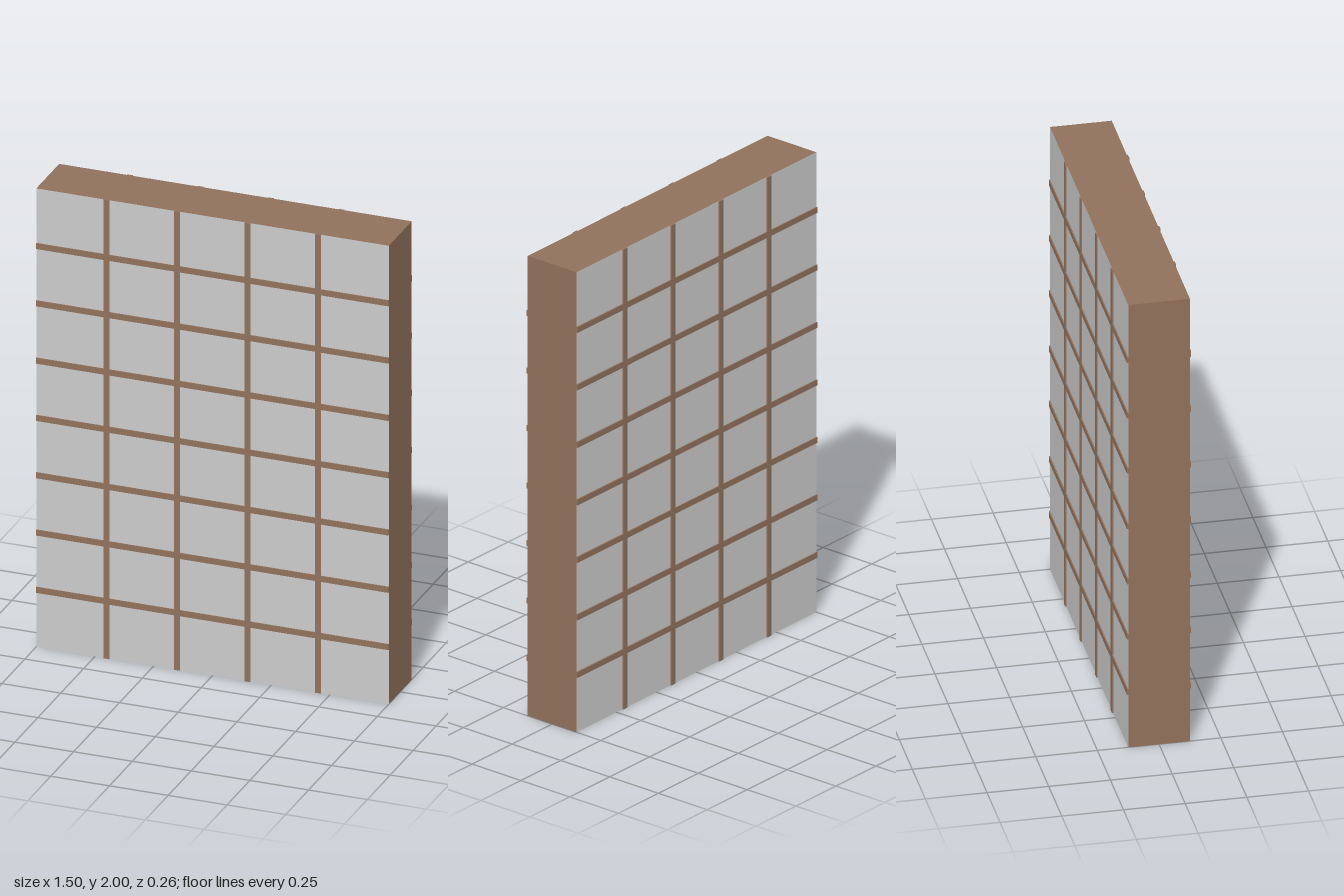
import * as THREE from 'three';

const W = 1.5, H = 2, D = 0.25;   // slab
const BAR = 0.025, PROUD = 0.005; // lattice bar width and projection
const COLS = 5, ROWS = 8;

export function createModel() {
  const group = new THREE.Group();
  const wood = new THREE.MeshStandardMaterial({ color: 0x91725b });
  const pane = new THREE.MeshStandardMaterial({ color: 0xcccccc });

  // Slab: wooden edges, pale front and back faces
  const slab = new THREE.Mesh(
    new THREE.BoxGeometry(W, H, D),
    [wood, wood, wood, wood, pane, pane]
  );
  slab.name = 'panel';
  slab.position.y = H / 2;
  group.add(slab);

  function addBar(name, parent, w, h, x, y, z) {
    const bar = new THREE.Mesh(new THREE.BoxGeometry(w, h, PROUD * 2), wood);
    bar.name = name;
    bar.position.set(x, y, z);
    parent.add(bar);
  }

  // Lattice of bars, half sunk into each face
  for (const side of [1, -1]) {
    const lattice = new THREE.Group();
    lattice.name = side > 0 ? 'frontLattice' : 'backLattice';
    const z = side * D / 2;
    for (let i = 1; i < COLS; i++) {
      addBar('verticalBar', lattice, BAR, H, -W / 2 + (i * W) / COLS, H / 2, z);
    }
    for (let j = 1; j < ROWS; j++) {
      addBar('horizontalBar', lattice, W, BAR, 0, (j * H) / ROWS, z);
    }
    group.add(lattice);
  }
  return group;
}
